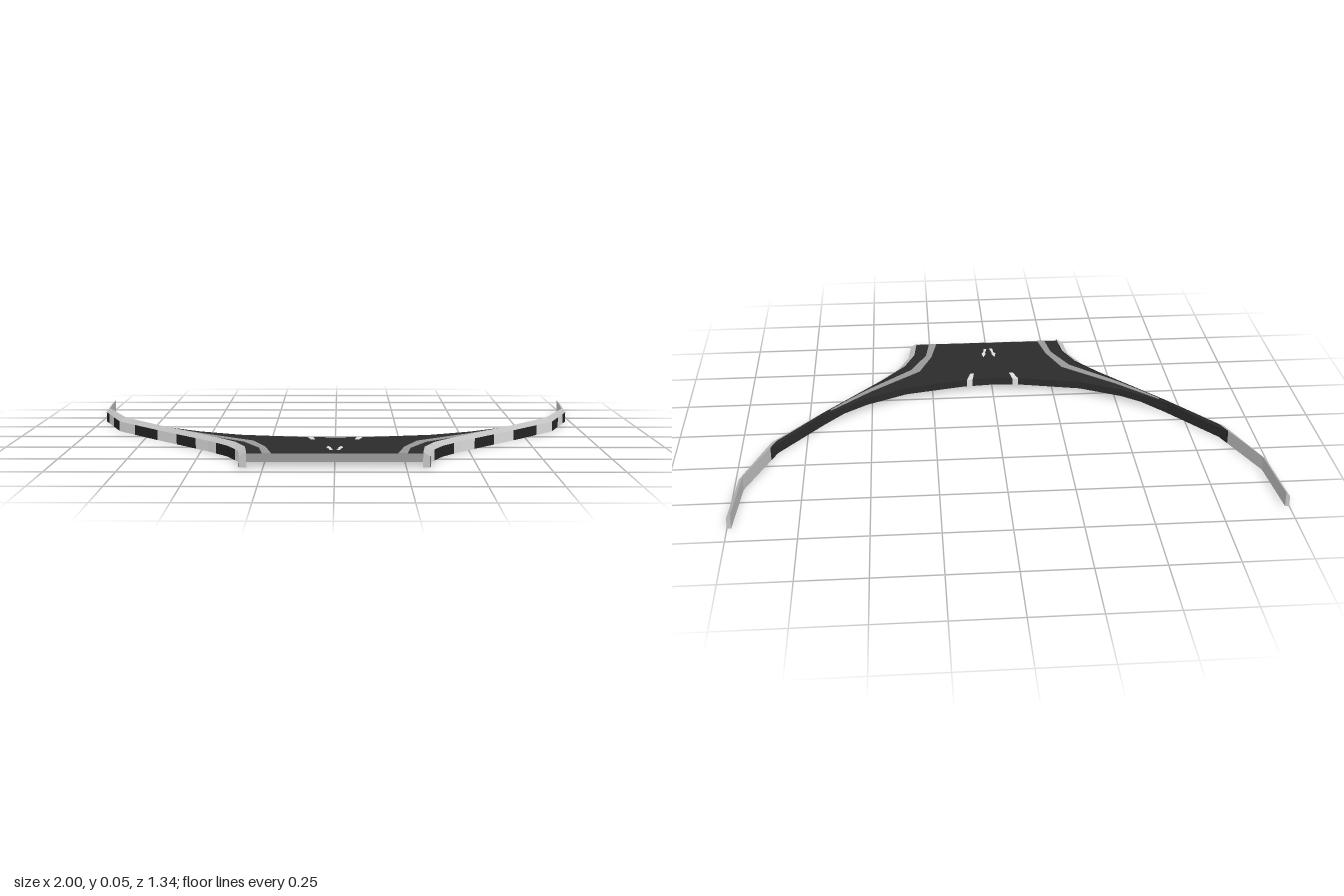
import * as THREE from 'three';

const mat = (name, color) => {
  const m = new THREE.MeshStandardMaterial({ color });
  m.name = name;
  return m;
};

// Curb plan for the +x side, front to back: [outer x, outer z, inner x, inner z]
const PLAN = [
  [0.334, 0.667, 0.308, 0.667], [0.345, 0.553, 0.32, 0.553], [0.393, 0.447, 0.362, 0.45],
  [0.473, 0.34, 0.448, 0.338], [0.71, 0.07, 0.688, 0.062], [0.88, -0.136, 0.858, -0.152],
  [0.98, -0.404, 0.965, -0.412], [1.0, -0.667, 0.985, -0.667],
];
// z where the painted wall switches between dark and white
const STRIPES = [0.615, 0.525, 0.385, 0.28, 0.185, 0.085, -0.045, -0.145, -0.255, -0.35, -0.5, -0.6];
const DECK_END = -0.19;
const DECK_TOP = 0.05, DECK_BOTTOM = 0.02;

// Curb section at a given outer z
function planAt(z) {
  let i = 0;
  while (i < PLAN.length - 2 && PLAN[i + 1][1] > z) i++;
  const a = PLAN[i], b = PLAN[i + 1], t = (z - a[1]) / (b[1] - a[1]);
  return a.map((v, k) => v + (b[k] - v) * t);
}

// Flat polygon [x, z] extruded downward from the height top
function slab(points, top, depth) {
  const shape = new THREE.Shape(points.map(([x, z]) => new THREE.Vector2(x, z)));
  return new THREE.ExtrudeGeometry(shape, { depth, bevelEnabled: false })
    .rotateX(Math.PI / 2).translate(0, top, 0);
}

export function createModel() {
  const model = new THREE.Group();
  model.name = 'trackJunction';
  const asphalt = mat('asphalt', 0x2b2b2b);
  const darkPaint = mat('darkPaint', 0x242424);
  const whitePaint = mat('whitePaint', 0xdedede);
  const curbGrey = mat('curbGrey', 0xc2c2c2);
  const lineGrey = mat('lineGrey', 0x989898);

  const add = (parent, name, geometry, material) => {
    const mesh = new THREE.Mesh(geometry, material);
    mesh.name = name;
    parent.add(mesh);
  };

  // Deck: curb edge on both sides, concave arc at the back
  const edge = [...PLAN.slice(0, 6).map((p) => [p[2], p[3]]), [0.873, DECK_END]];
  const arc = [[0.79, -0.085], [0.69, 0.052], [0.52, 0.18], [0.36, 0.26], [0.13, 0.31]];
  const half = [...edge, ...arc];
  const mirrored = half.map(([x, z]) => [-x, z]).reverse();
  add(model, 'deck', slab([...half, [0, 0.322], ...mirrored], DECK_TOP, DECK_TOP - DECK_BOTTOM), asphalt);

  // Grey face on the front end of the deck
  const front = new THREE.BoxGeometry(0.616, DECK_TOP - DECK_BOTTOM, 0.004);
  add(model, 'frontEdge', front.translate(0, (DECK_TOP + DECK_BOTTOM) / 2, 0.666), lineGrey);

  for (const s of [1, -1]) {
    const side = new THREE.Group();
    side.name = s > 0 ? 'leftSide' : 'rightSide';
    model.add(side);

    // Curb: striped outer wall, sloped top, inner wall and underside
    const parts = { darkStripes: [], whiteStripes: [], curbBody: [], deckSideWall: [] };
    const quad = (part, a, b, c, d) => {
      const corners = s > 0 ? [a, b, c, a, c, d] : [a, c, b, a, d, c];
      corners.forEach(([x, y, z]) => parts[part].push(s * x, y, z));
    };
    const section = (z) => {
      const [ox, oz, ix, iz] = planAt(z);
      return [[ox, 0, oz], [ox, 0.04, oz], [ix, 0.055, iz], [ix, 0, iz]];
    };
    const cuts = [...new Set([...PLAN.map((p) => p[1]), ...STRIPES, DECK_END])].sort((a, b) => b - a);
    for (let i = 0; i < cuts.length - 1; i++) {
      const p = section(cuts[i]), q = section(cuts[i + 1]);
      const mid = (cuts[i] + cuts[i + 1]) / 2;
      const white = STRIPES.filter((z) => z > mid).length % 2 === 1;
      quad(white ? 'whiteStripes' : 'darkStripes', p[0], q[0], q[1], p[1]);
      quad('curbBody', p[1], q[1], q[2], p[2]);
      quad(mid > DECK_END ? 'deckSideWall' : 'curbBody', p[2], q[2], q[3], p[3]);
      quad('curbBody', p[3], q[3], q[0], p[0]);
    }
    quad('curbBody', ...section(0.667));
    quad('curbBody', ...section(-0.667).reverse());
    const materials = {
      darkStripes: darkPaint, whiteStripes: whitePaint, curbBody: curbGrey, deckSideWall: asphalt,
    };
    for (const [name, positions] of Object.entries(parts)) {
      const geometry = new THREE.BufferGeometry();
      geometry.setAttribute('position', new THREE.Float32BufferAttribute(positions, 3));
      geometry.computeVertexNormals();
      add(side, name, geometry, materials[name]);
    }

    // Painted details lie just above the deck
    const plate = (name, points, material) =>
      add(side, name, slab(points.map(([x, z]) => [s * x, z]), DECK_TOP + 0.002, 0.003), material);
    plate('laneLine', [
      [0.254, 0.667], [0.27, 0.553], [0.335, 0.42], [0.515, 0.255], [0.665, 0.095],
      [0.66, 0.085], [0.505, 0.235], [0.3, 0.405], [0.247, 0.54], [0.222, 0.667],
    ], lineGrey);
    plate('arrowMark', [
      [0.024, 0.52], [0.03, 0.555], [0.022, 0.565], [0.019, 0.6], [0.006, 0.6], [0.014, 0.565], [0.013, 0.55],
    ], whitePaint);

    // White tab on the back edge, folded down over the wall
    plate('tabTop', [[0.083, 0.312], [0.106, 0.308], [0.09, 0.365], [0.074, 0.365]], whitePaint);
    const tab = new THREE.BoxGeometry(0.023, 0.032, 0.006).rotateY(s * 0.09);
    add(side, 'tabFace', tab.translate(s * 0.095, 0.036, 0.312), whitePaint);
  }
  return model;
}
